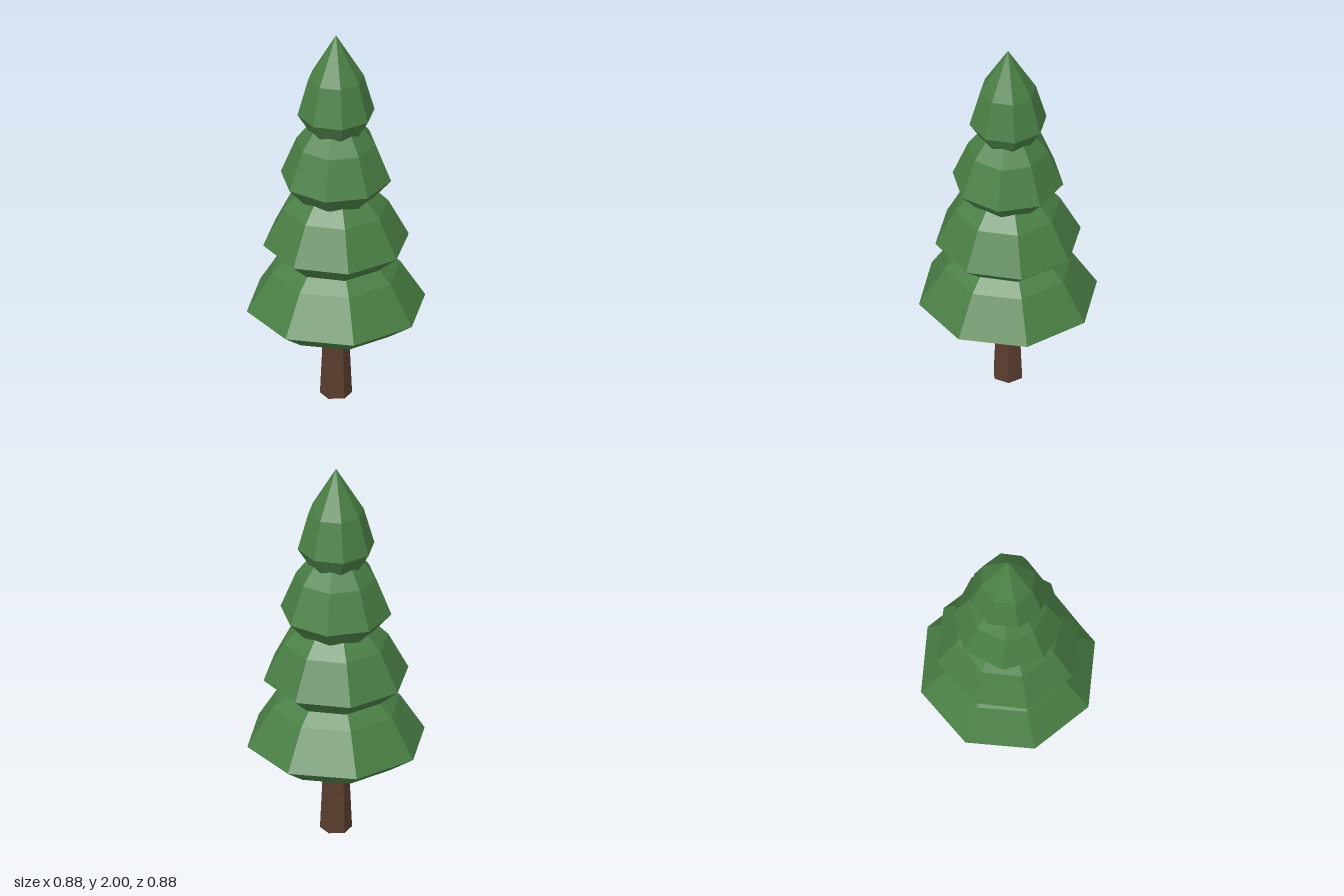
import * as THREE from 'three';

export function createModel() {
  const tree = new THREE.Group();
  tree.name = 'pineTree';

  const foliage = new THREE.MeshStandardMaterial({ name: 'needleGreen', color: 0x4a7f45, flatShading: true });
  const bark = new THREE.MeshStandardMaterial({ name: 'barkBrown', color: 0x5a3d2e, flatShading: true });

  // Tapered six-sided trunk
  const trunk = new THREE.Mesh(new THREE.CylinderGeometry(0.059, 0.079, 0.44, 6, 1, false, Math.PI / 2), bark);
  trunk.name = 'trunk';
  trunk.position.y = 0.22;
  tree.add(trunk);

  // Eight-sided foliage tiers: closed underside, wide rim, shoulder, pointed tip
  const tiers = [
    { base: 0.405, rim: 0.5, shoulder: 0.7, tip: 0.98, radius: 0.447, turn: 10 },
    { base: 0.76, rim: 0.855, shoulder: 1.05, tip: 1.32, radius: 0.363, turn: 8.4 },
    { base: 1.115, rim: 1.21, shoulder: 1.405, tip: 1.67, radius: 0.276, turn: -12.2 },
    { base: 1.475, rim: 1.57, shoulder: 1.765, tip: 2.0, radius: 0.192, turn: 8 },
  ];
  tiers.forEach(({ base, rim, shoulder, tip, radius, turn }, i) => {
    const profile = [
      [0, base], [radius * 0.7, base], [radius, rim], [radius * 0.72, shoulder], [0, tip],
    ].map(([r, y]) => new THREE.Vector2(r, y));
    const tier = new THREE.Mesh(new THREE.LatheGeometry(profile, 8), foliage);
    tier.name = `foliageTier${i + 1}`;
    tier.rotation.y = THREE.MathUtils.degToRad(turn);
    tree.add(tier);
  });

  return tree;
}
